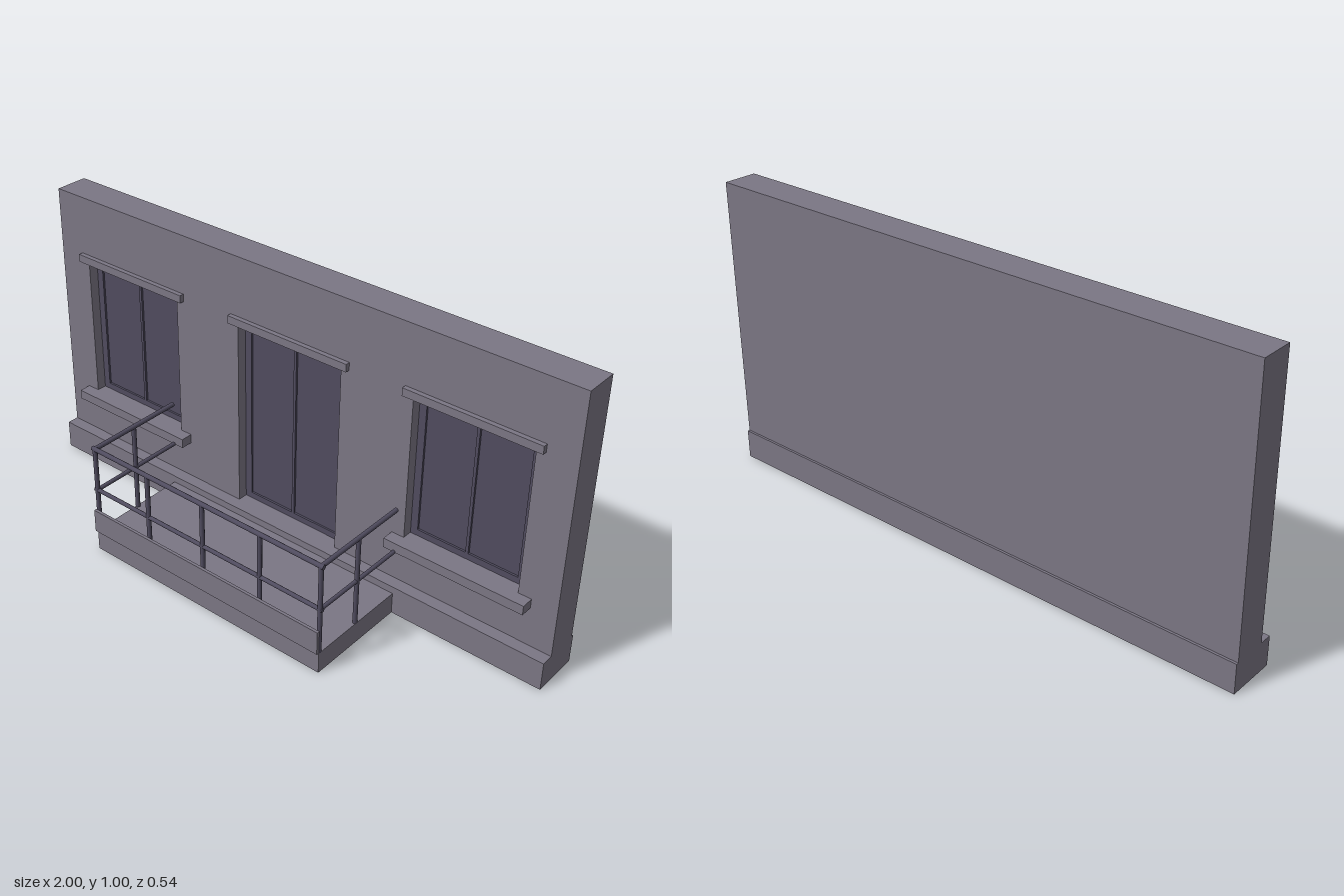
import * as THREE from 'three';

export function createModel() {
  const model = new THREE.Group();
  const mat = (name, color) => {
    const m = new THREE.MeshStandardMaterial({ color });
    m.name = name;
    return m;
  };
  const stone = mat('grey stone', 0x7b7684);
  const dark = mat('dark metal', 0x504c5f);

  const add = (name, geometry, material) => {
    const mesh = new THREE.Mesh(geometry, material);
    mesh.name = name;
    model.add(mesh);
    return mesh;
  };
  // Box given by its limits on each axis
  const box = (name, x0, x1, y0, y1, z0, z1, material = stone) =>
    add(name, new THREE.BoxGeometry(x1 - x0, y1 - y0, z1 - z0), material)
      .position.set((x0 + x1) / 2, (y0 + y1) / 2, (z0 + z1) / 2);
  // Upright plate with rectangular holes [x0, x1, y0, y1]
  const rect = (path, [x0, x1, y0, y1]) => {
    path.moveTo(x0, y0).lineTo(x1, y0).lineTo(x1, y1).lineTo(x0, y1).closePath();
    return path;
  };
  const plate = (name, outer, holes, z0, z1, material) => {
    const shape = rect(new THREE.Shape(), outer);
    shape.holes = holes.map((h) => rect(new THREE.Path(), h));
    add(name, new THREE.ExtrudeGeometry(shape, { depth: z1 - z0, bevelEnabled: false }), material)
      .position.z = z0;
  };
  // Round bar between two points
  const bar = (name, a, b, radius) => {
    const from = new THREE.Vector3(...a), to = new THREE.Vector3(...b);
    const dir = to.clone().sub(from);
    const mesh = add(name, new THREE.CylinderGeometry(radius, radius, dir.length(), 10), dark);
    mesh.position.copy(from).add(to).multiplyScalar(0.5);
    mesh.quaternion.setFromUnitVectors(new THREE.Vector3(0, 1, 0), dir.normalize());
  };

  // Wall: solid back with a front layer pierced by the openings
  const openings = [
    { name: 'rightWindow', x: -0.671, y: 0.268, sill: true },
    { name: 'door', x: -0.003, y: 0.1, sill: false },
    { name: 'leftWindow', x: 0.665, y: 0.268, sill: true },
  ];
  const top = 0.77, half = 0.203, face = -0.146, recess = -0.191;
  const holeOf = (o) => [o.x - half, o.x + half, o.y, top];
  box('wallBack', -1, 1, 0.1, 1, -0.262, recess);
  plate('wallFront', [-1, 1, 0.1, 1], openings.map(holeOf), recess, face, stone);
  box('plinth', -1, 1, 0, 0.1, -0.27, -0.104);

  // Windows and door: glass, two-leaf frame, lintel and sill
  for (const o of openings) {
    const [x0, x1, y0, y1] = holeOf(o);
    const paneY = [y0 + 0.022, y1 - 0.024];
    box(o.name + 'Glass', x0, x1, y0, y1, recess, recess + 0.003, dark);
    plate(o.name + 'Frame', [x0, x1, y0, y1], [
      [x0 + 0.025, o.x - 0.005, ...paneY],
      [o.x + 0.005, x1 - 0.025, ...paneY],
    ], recess + 0.003, recess + 0.01, dark);
    box(o.name + 'Lintel', o.x - 0.233, o.x + 0.233, 0.768, 0.795, face, -0.13);
    if (o.sill) box(o.name + 'Sill', o.x - 0.248, o.x + 0.248, 0.235, 0.268, face, -0.103);
  }

  // Balcony floor and front kick board
  box('balconyFloor', -0.468, 0.463, 0, 0.075, -0.104, 0.262);
  box('kickBoard', -0.468, 0.463, 0.077, 0.16, 0.262, 0.272);

  // Railing: posts, then handrail and middle rail on three sides
  const cx = -0.003, side = 0.46, zFront = 0.254;
  for (let i = -2; i <= 2; i++) {
    const x = cx + (i * side) / 2;
    bar('frontPost', [x, 0.075, zFront], [x, 0.392, zFront], 0.008);
  }
  for (const [name, y, r] of [['handrail', 0.392, 0.008], ['middleRail', 0.235, 0.007]]) {
    bar(name + 'Front', [cx - side - 0.01, y, zFront], [cx + side + 0.01, y, zFront], r);
    for (const s of [-1, 1]) {
      bar(name + 'Side', [cx + s * side, y, zFront], [cx + s * side, y, -0.104], r);
    }
  }
  for (const s of [-1, 1]) {
    bar('sidePost', [cx + s * side, 0.075, 0.08], [cx + s * side, 0.392, 0.08], 0.008);
  }
  return model;
}
